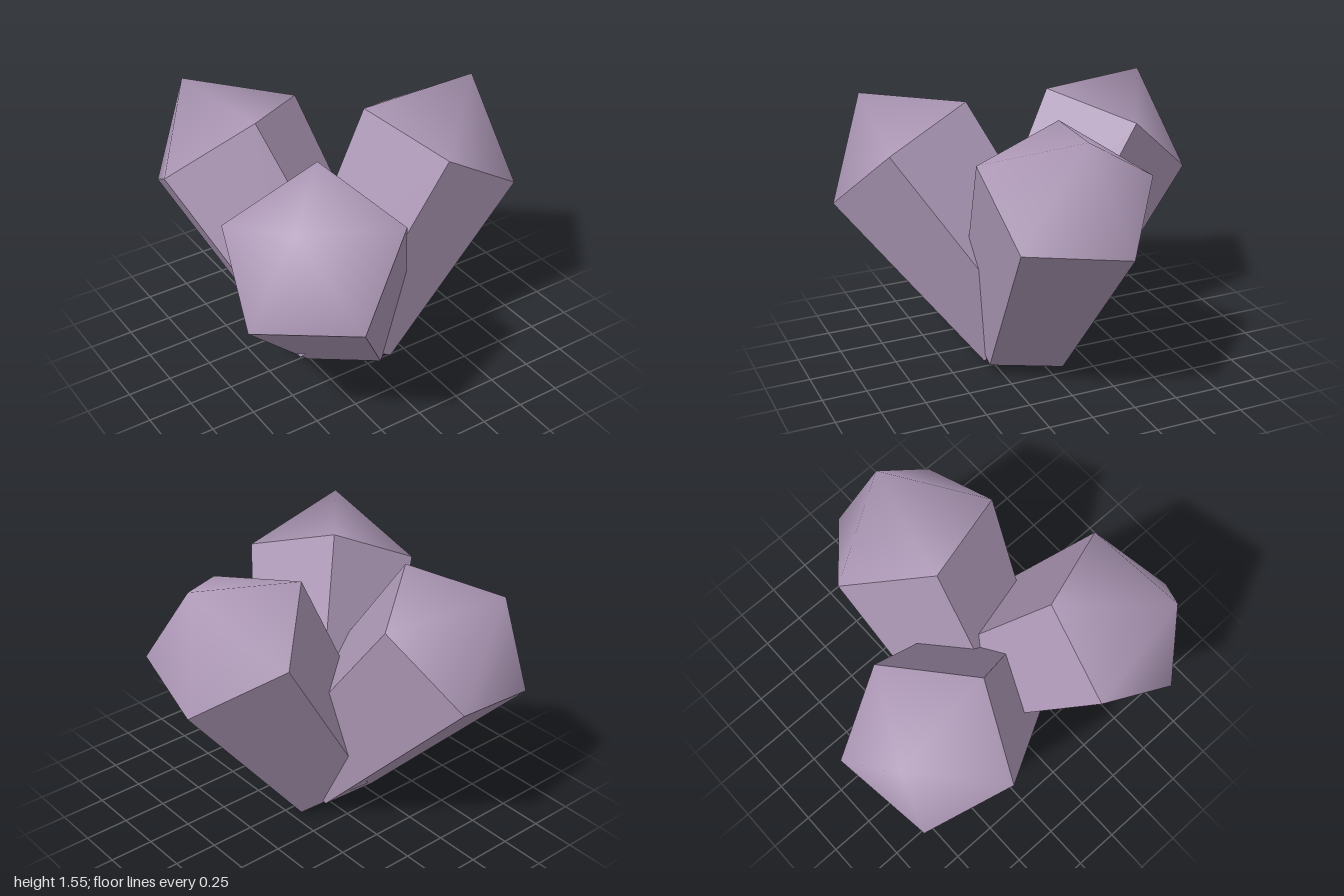
import * as THREE from 'three';
import { mergeVertices } from 'three/addons/utils/BufferGeometryUtils.js';

const SIDES = 5, TOP_R = 0.487, BASE_R = 0.355, TIP_H = 0.408;

// Faceted, slightly tapering shaft standing on y = 0
function shaftGeometry(length) {
  const g = new THREE.CylinderGeometry(TOP_R, BASE_R, length, SIDES).toNonIndexed();
  g.translate(0, length / 2, 0);
  g.computeVertexNormals();
  return g;
}

// Pointed tip with softly blended normals
function tipGeometry(length) {
  let g = new THREE.ConeGeometry(TOP_R, TIP_H, SIDES, 1, true);
  g.deleteAttribute('uv');
  g.deleteAttribute('normal');
  g = mergeVertices(g, 1e-4);
  g.translate(0, length + TIP_H / 2, 0);
  g.computeVertexNormals();
  return g;
}

// One crystal from its base centre to its rim centre, turned so a corner meets `corner`
function crystal(name, base, rim, corner, material) {
  const b = new THREE.Vector3(...base), r = new THREE.Vector3(...rim);
  const axis = r.clone().sub(b);
  const length = axis.length();
  axis.normalize();
  const out = new THREE.Vector3(...corner).sub(r);
  out.addScaledVector(axis, -out.dot(axis)).normalize();
  const side = new THREE.Vector3().crossVectors(axis, out);

  const group = new THREE.Group();
  group.name = name;
  const shaft = new THREE.Mesh(shaftGeometry(length), material);
  shaft.name = name + 'Shaft';
  const tip = new THREE.Mesh(tipGeometry(length), material);
  tip.name = name + 'Tip';
  group.add(shaft, tip);
  group.quaternion.setFromRotationMatrix(new THREE.Matrix4().makeBasis(side, axis, out));
  group.position.copy(b);
  return group;
}

export function createModel() {
  const lilac = new THREE.MeshStandardMaterial({ color: 0xab96b4 });
  lilac.name = 'lilac';

  const model = new THREE.Group();
  model.name = 'crystalCluster';
  model.add(
    crystal('leftCrystal', [-0.08, 0.187, 0.046], [0.566, 1.202, 0.062], [0.95, 0.96, -0.115], lilac),
    crystal('frontCrystal', [0.012, 0.226, 0.015], [-0.554, 1.14, 0.558], [-0.13, 1.27, 0.77], lilac),
    crystal('backCrystal', [-0.1, 0.214, 0.08], [-0.392, 1.156, -0.634], [0.06, 1.33, -0.58], lilac)
  );
  return model;
}
